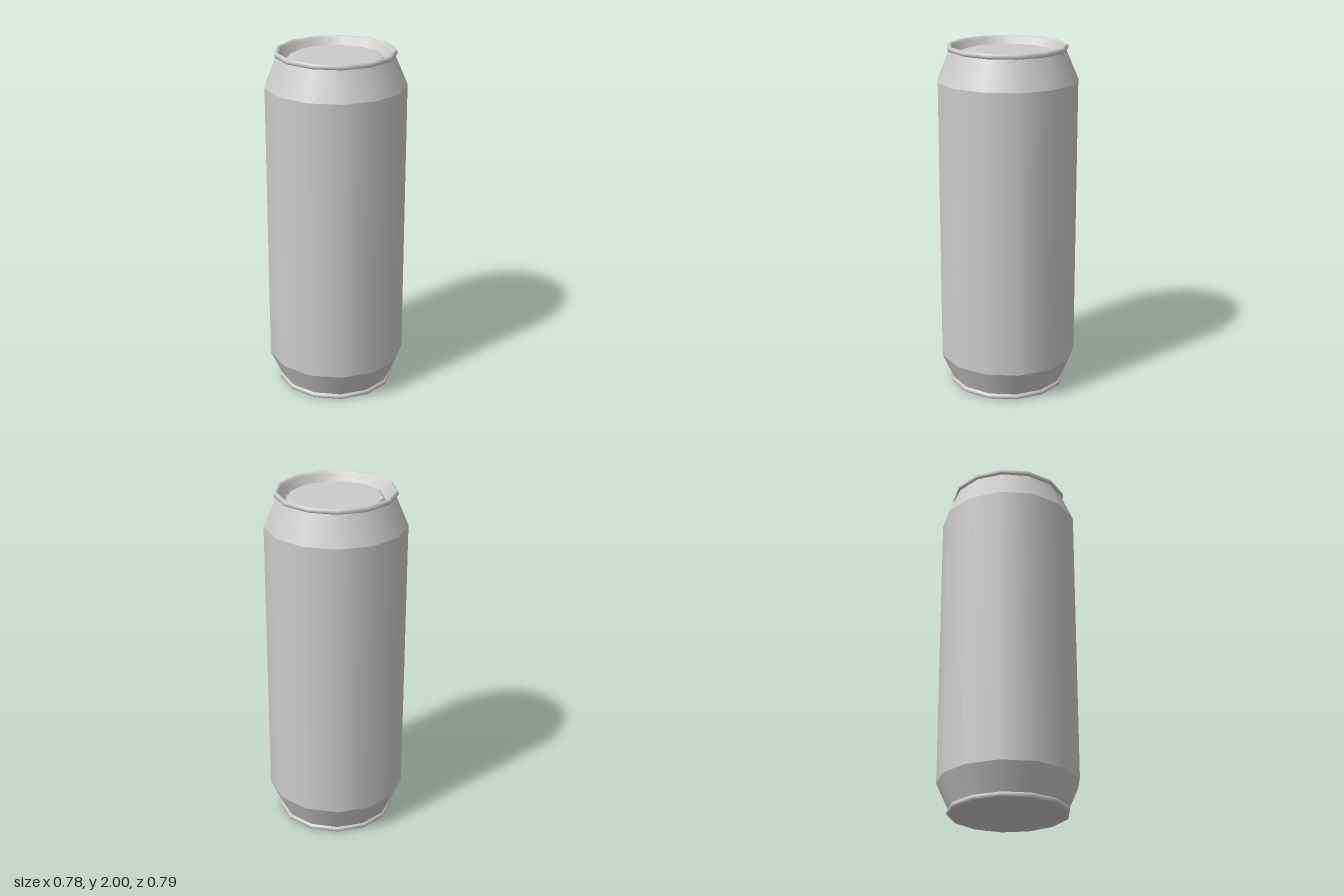
import * as THREE from 'three';

const SIDES = 13;
const material = new THREE.MeshStandardMaterial({ color: 0xcccccc });

// Revolve a profile of [radius, height] pairs, with one corner on +x
function ring(name, profile) {
  const points = profile.map(([r, y]) => new THREE.Vector2(r, y));
  const mesh = new THREE.Mesh(new THREE.LatheGeometry(points, SIDES, Math.PI / 2), material);
  mesh.name = name;
  return mesh;
}

export function createModel() {
  const can = new THREE.Group();
  can.name = 'can';

  // Separate bands keep the edges between them sharp
  can.add(
    ring('base', [[0, 0.005], [0.325, 0.005]]),
    ring('bottomRim', [[0.325, 0.005], [0.329, 0], [0.336, 0.004], [0.339, 0.015], [0.336, 0.025], [0.328, 0.03]]),
    ring('lowerTaper', [[0.328, 0.03], [0.396, 0.18]]),
    ring('body', [[0.396, 0.18], [0.396, 1.805]]),
    ring('shoulder', [[0.396, 1.805], [0.326, 1.97]]),
    ring('topRim', [
      [0.326, 1.97], [0.335, 1.973], [0.339, 1.984], [0.335, 1.996],
      [0.327, 2], [0.318, 1.996], [0.312, 1.985],
    ]),
    // Recessed lid: sloping wall, groove, raised panel
    ring('lid', [
      [0.312, 1.985], [0.286, 1.937], [0.279, 1.932], [0.272, 1.937],
      [0.262, 1.957], [0.252, 1.961], [0.2, 1.961], [0, 1.961],
    ]),
  );

  // Centre the odd-sided outline across its width
  can.children.forEach((part) => { part.position.x = -0.006; });
  return can;
}
